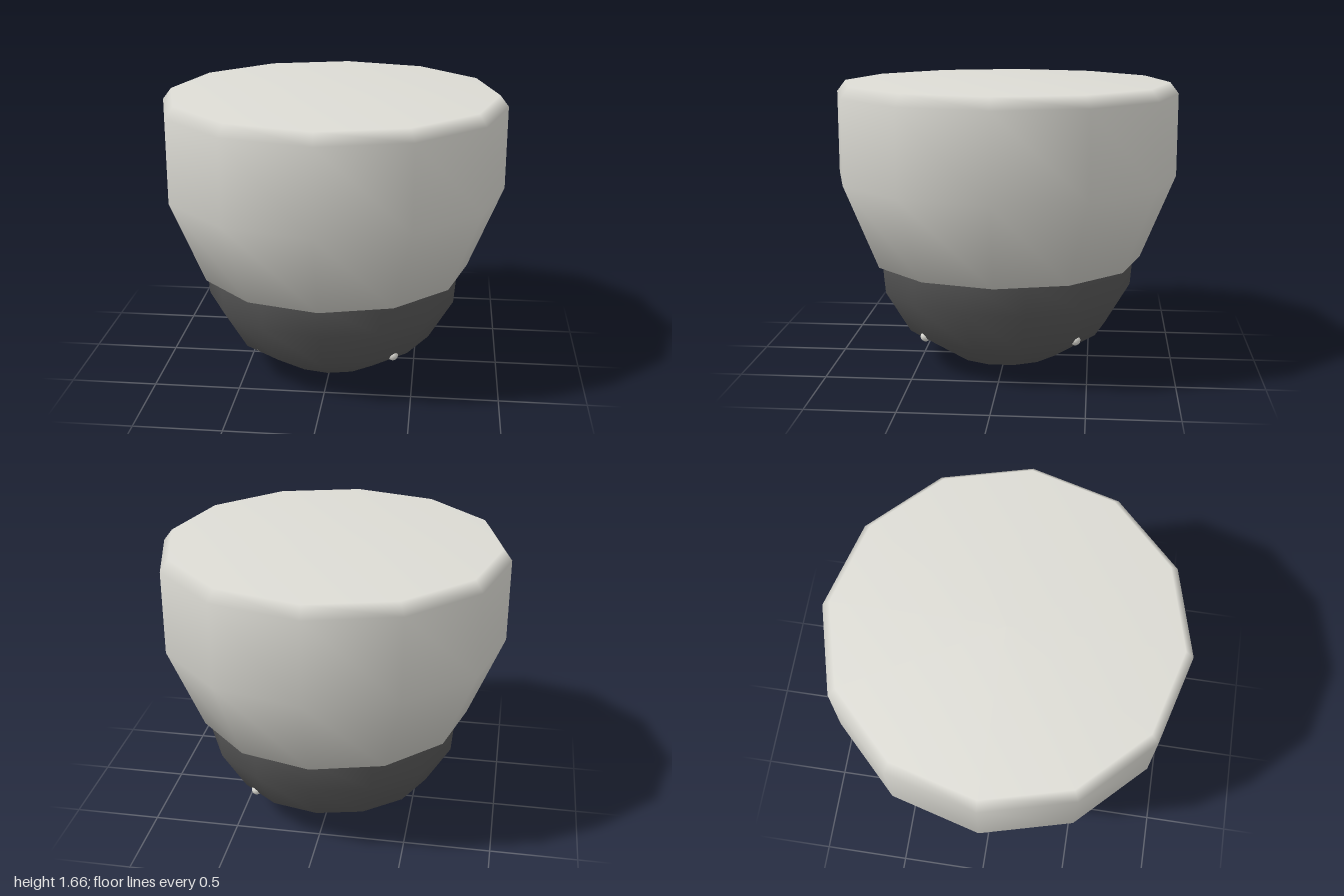
import * as THREE from 'three';

const lightGrey = new THREE.MeshStandardMaterial({ color: 0xdddcd5 });
lightGrey.name = 'lightGrey';
const darkGrey = new THREE.MeshStandardMaterial({ color: 0x585858 });
darkGrey.name = 'darkGrey';

// Smooth turned part from [radius, height] pairs, bottom to top
function turned(name, profile, sides, material) {
  const points = profile.map(([r, y]) => new THREE.Vector2(r, y));
  const mesh = new THREE.Mesh(new THREE.LatheGeometry(points, sides), material);
  mesh.name = name;
  return mesh;
}

export function createModel() {
  const model = new THREE.Group();
  model.name = 'domeUnit';

  // Twelve-sided housing with tapered foot and bevelled rim
  model.add(turned('housing', [
    [0, 0.63], [0.8, 0.63], [1, 1.12], [1, 1.6], [0.95, 1.665], [0, 1.665],
  ], 12, lightGrey));

  // Fourteen-sided dome, its top edge hidden in the housing
  model.add(turned('dome', [
    [0, 0], [0.33, 0.04], [0.6, 0.215], [0.745, 0.46], [0.76, 0.64],
  ], 14, darkGrey));

  // Small beads sunk into the dome; the left front one barely shows
  const beads = [[0.39, 0.432, 0.03], [0.39, -0.432, 0.03], [-0.39, 0.432, 0.01]];
  for (const [x, z, radius] of beads) {
    const bead = new THREE.Mesh(new THREE.SphereGeometry(radius, 10, 8), lightGrey);
    bead.name = 'bead';
    bead.position.set(x, 0.225, z);
    model.add(bead);
  }
  return model;
}
